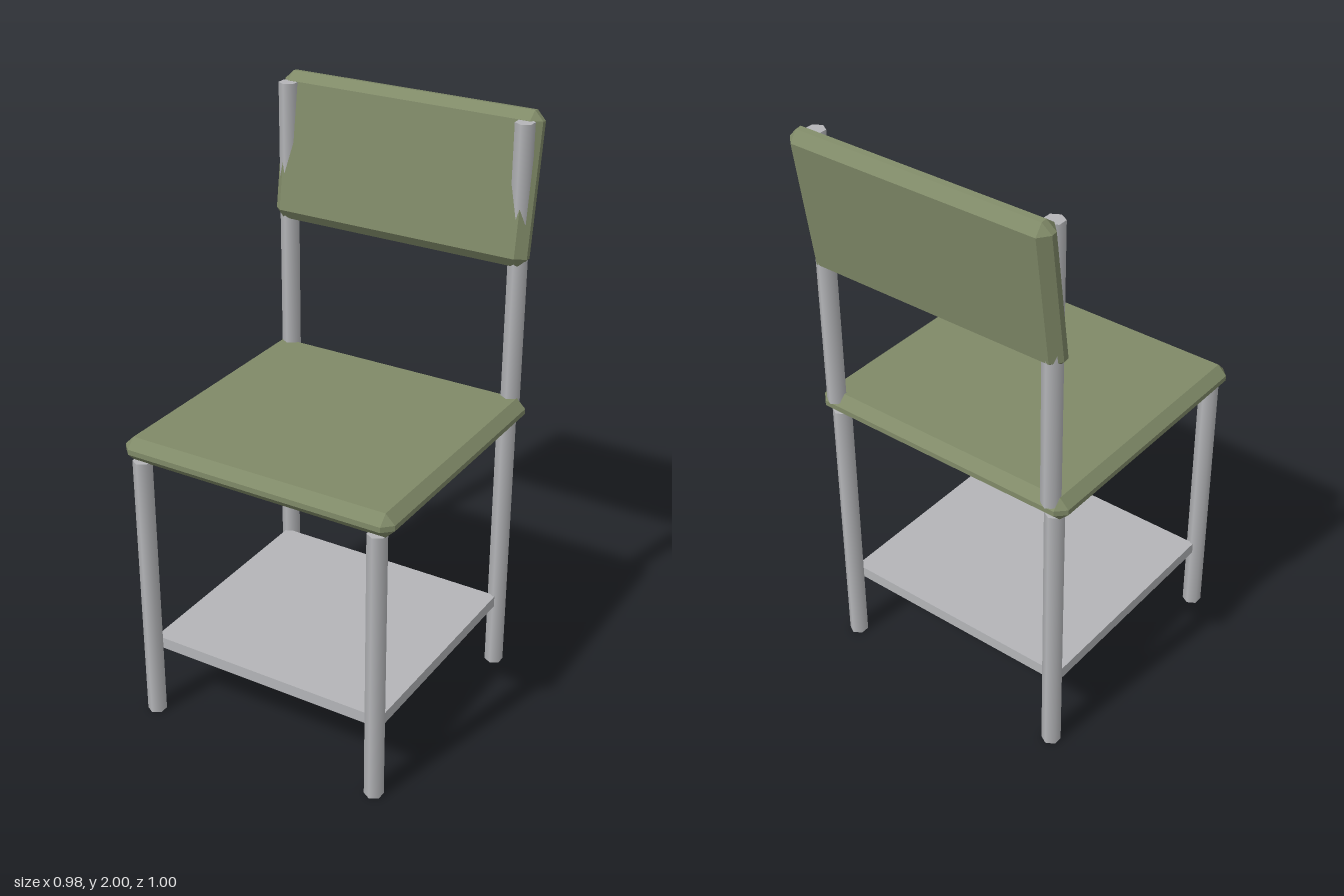
import * as THREE from 'three';
import { ConvexGeometry } from 'three/addons/geometries/ConvexGeometry.js';

const olive = new THREE.MeshStandardMaterial({ name: 'olive cushion', color: 0x808a68 });
const grey = new THREE.MeshStandardMaterial({ name: 'grey metal', color: 0xb4b5b8 });

// Box with every edge cut by a flat chamfer
function chamferBox(w, h, d, c) {
  const points = [];
  for (const x of [-1, 1]) for (const y of [-1, 1]) for (const z of [-1, 1]) {
    const half = [w / 2, h / 2, d / 2];
    for (let full = 0; full < 3; full++) {
      const p = half.map((v, i) => (i === full ? v : v - c));
      points.push(new THREE.Vector3(p[0] * x, p[1] * y, p[2] * z));
    }
  }
  return new ConvexGeometry(points);
}

export function createModel() {
  const chair = new THREE.Group();
  chair.name = 'chair';

  function add(name, geometry, material, x, y, z) {
    const mesh = new THREE.Mesh(geometry, material);
    mesh.name = name;
    mesh.position.set(x, y, z);
    chair.add(mesh);
    return mesh;
  }

  // Six-sided smooth tube standing between two heights
  function tube(name, x, z, y0, y1) {
    add(name, new THREE.CylinderGeometry(0.032, 0.032, y1 - y0, 6), grey, x, (y0 + y1) / 2, z);
  }

  // Legs and backrest posts, mirrored
  for (const [side, s] of [['left', 1], ['right', -1]]) {
    tube(side + 'FrontLeg', s * 0.428, 0.468, 0, 0.965);
    tube(side + 'BackLeg', s * 0.428, -0.388, 0, 0.965);
    tube(side + 'BackPost', s * 0.428, -0.408, 1.015, 1.97);
  }

  // Lower shelf between the legs
  add('shelf', new THREE.BoxGeometry(0.865, 0.04, 0.81), grey, 0, 0.26, 0.038);

  // Cushions
  add('seat', chamferBox(0.976, 0.082, 0.935, 0.032), olive, 0, 1.002, 0.035);
  const back = add('backrest', chamferBox(0.936, 0.496, 0.082, 0.031), olive, 0, 1.75, -0.43);
  back.rotation.x = -0.147;

  return chair;
}
